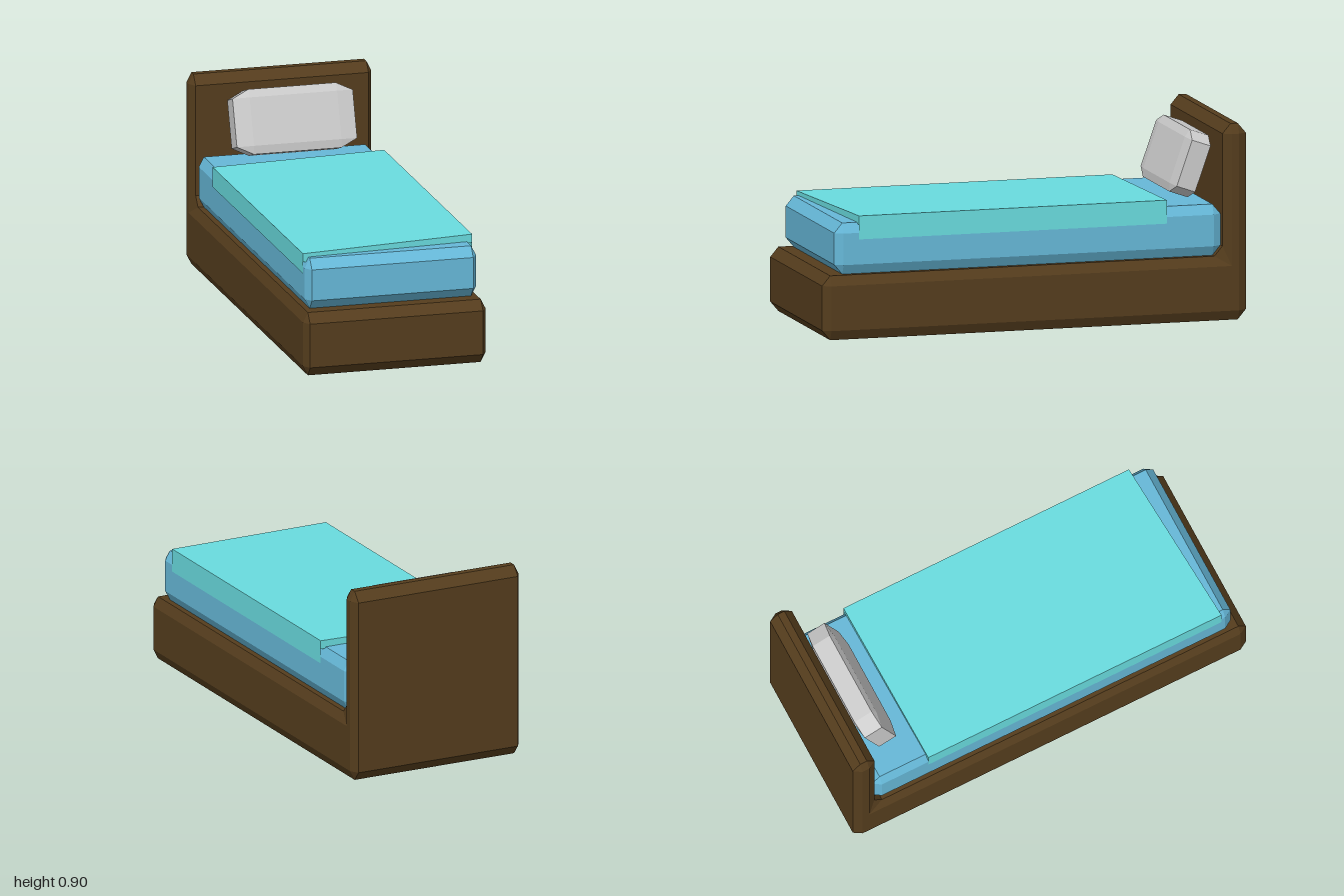
import * as THREE from 'three';

const material = (color) => new THREE.MeshStandardMaterial({ color, flatShading: true, side: THREE.DoubleSide });

function facets(triangles) {
  const geometry = new THREE.BufferGeometry();
  geometry.setAttribute('position', new THREE.Float32BufferAttribute(triangles.flat(2), 3));
  geometry.computeVertexNormals();
  return geometry;
}

// Right-angled side profile [z, y], counter-clockwise, widened along x with every edge chamfered
function chamferedPrism(corners, halfWidth, [cx, cy, cz]) {
  const n = corners.length, outer = [], inset = [];
  corners.forEach(([z, y], i) => {
    const step = ([tz, ty]) => [Math.sign(tz - z) * cz, Math.sign(ty - y) * cy];
    const a = step(corners[(i + n - 1) % n]), b = step(corners[(i + 1) % n]);
    const s = b[0] * a[1] - b[1] * a[0] > 0 ? 1 : -1; // inside corners move the other way
    outer.push([z + a[0], y + a[1]], [z + b[0], y + b[1]]);
    const p = [z + s * (a[0] + b[0]), y + s * (a[1] + b[1])];
    inset.push(p, p);
  });
  const ring = (points, x) => points.map(([z, y]) => [x, y, z]);
  const rings = [ring(inset, -halfWidth), ring(outer, cx - halfWidth),
    ring(outer, halfWidth - cx), ring(inset, halfWidth)];
  const triangles = [];
  for (let r = 0; r < 3; r++) {
    for (let i = 0; i < 2 * n; i++) {
      const j = (i + 1) % (2 * n), lo = rings[r], hi = rings[r + 1];
      if (lo[i].join() !== lo[j].join()) triangles.push([lo[i], hi[j], lo[j]]);
      if (hi[i].join() !== hi[j].join()) triangles.push([lo[i], hi[i], hi[j]]);
    }
  }
  // flat side faces
  const flat = inset.filter((_, i) => i % 2 === 0);
  const left = ring(flat, halfWidth), right = ring(flat, -halfWidth);
  for (const [a, b, c] of THREE.ShapeUtils.triangulateShape(flat.map((p) => new THREE.Vector2(...p)), [])) {
    triangles.push([right[a], right[b], right[c]], [left[a], left[c], left[b]]);
  }
  return facets(triangles);
}

const rectangle = (z0, z1, y0, y1) => [[z0, y0], [z1, y0], [z1, y1], [z0, y1]];

// Slightly crooked sheet with thin ends and a skirt down each side
function blanketGeometry() {
  const sides = [
    { x: -0.405, top: 0.548, back: -0.615, front: 0.877 },
    { x: 0.405, top: 0.563, back: -0.628, front: 0.825 },
  ];
  const [r, l] = sides;
  const at = (s, end, y) => [s.x, y, s[end]];
  const triangles = [];
  const quad = (a, b, c, d) => triangles.push([a, b, c], [a, c, d]);
  const skirt = 0.455, thick = 0.04;
  quad(at(r, 'front', r.top), at(l, 'front', l.top), at(l, 'back', l.top), at(r, 'back', r.top));
  quad(at(l, 'front', skirt), at(l, 'back', skirt), at(l, 'back', l.top), at(l, 'front', l.top));
  quad(at(r, 'back', skirt), at(r, 'front', skirt), at(r, 'front', r.top), at(r, 'back', r.top));
  for (const [a, b, end] of [[r, l, 'front'], [l, r, 'back']]) {
    quad(at(a, end, a.top - thick), at(b, end, b.top - thick), at(b, end, b.top), at(a, end, a.top));
  }
  return facets(triangles);
}

export function createModel() {
  const bed = new THREE.Group();
  bed.name = 'bed';
  const add = (name, geometry, color) => {
    const mesh = new THREE.Mesh(geometry, material(color));
    mesh.name = name;
    bed.add(mesh);
    return mesh;
  };

  // base and headboard in one piece
  const profile = [[-1, 0], [1, 0], [1, 0.295], [-0.89, 0.295], [-0.89, 0.9], [-1, 0.9]];
  add('frame', chamferedPrism(profile, 0.429, [0.023, 0.045, 0.038]), 0x553d1d);

  add('mattress', chamferedPrism(rectangle(-0.888, 0.935, 0.295, 0.53), 0.403, [0.024, 0.045, 0.038]), 0x66b8d8);

  add('blanket', blanketGeometry(), 0x69dcdf);

  // pillow leaning towards the headboard
  const pillow = add('pillow',
    chamferedPrism(rectangle(-0.058, 0.058, -0.148, 0.148), 0.2825, [0.077, 0.038, 0.012]), 0xcccccc);
  pillow.position.set(0.018, 0.694, -0.786);
  pillow.rotation.x = -0.338;

  return bed;
}
